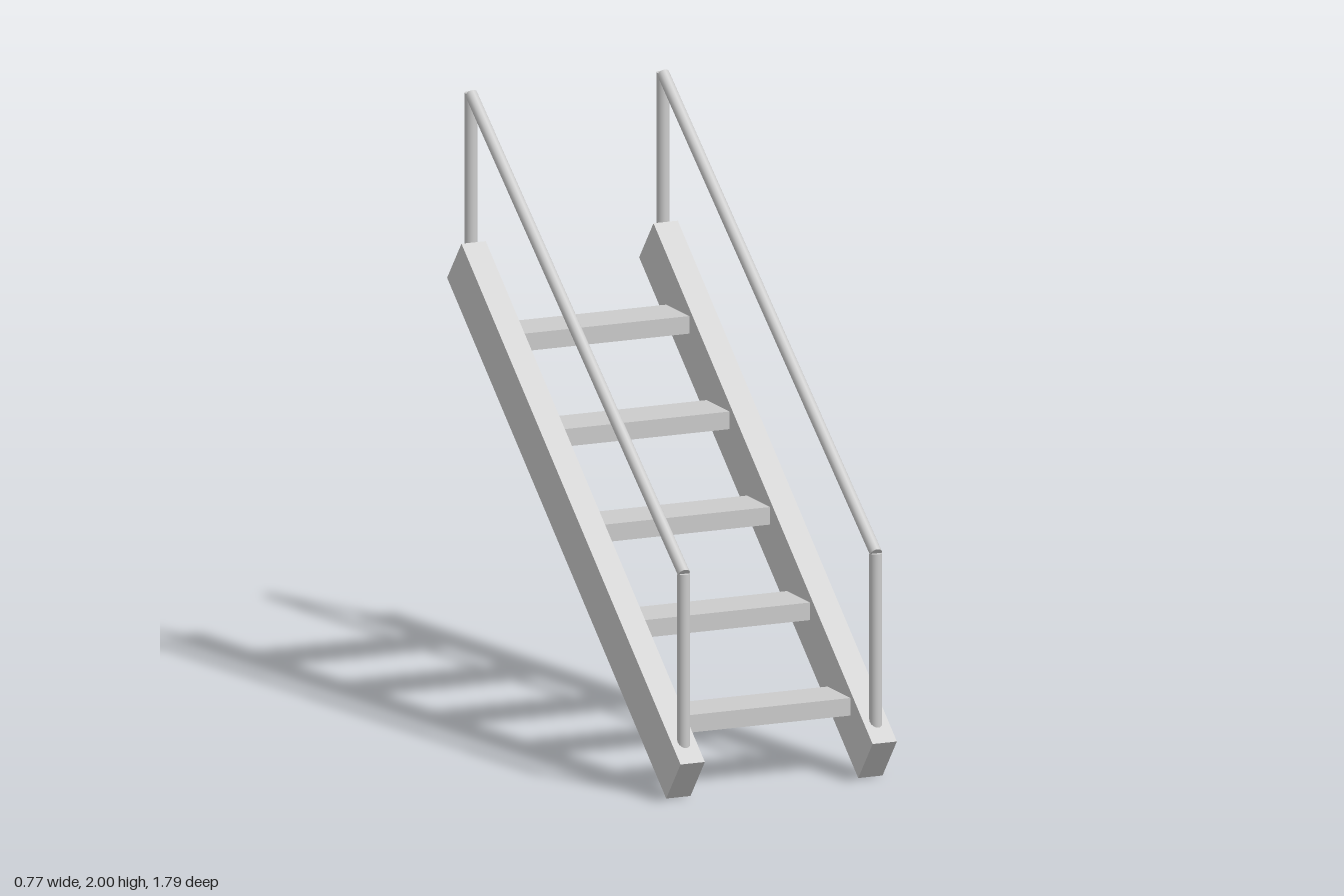
import * as THREE from 'three';

const material = new THREE.MeshStandardMaterial({ color: 0xcccccc });
const SLOPE = Math.atan2(1.36, 1.68);

function addMesh(parent, name, geometry) {
  const mesh = new THREE.Mesh(geometry, material);
  mesh.name = name;
  parent.add(mesh);
  return mesh;
}

// Round bar in the y-z plane between two [y, z] points
function addBar(parent, name, [y0, z0], [y1, z1], radius) {
  const dir = new THREE.Vector3(0, y1 - y0, z1 - z0);
  const bar = addMesh(parent, name, new THREE.CylinderGeometry(radius, radius, dir.length(), 16));
  bar.position.set(0, (y0 + y1) / 2, (z0 + z1) / 2);
  bar.quaternion.setFromUnitVectors(new THREE.Vector3(0, 1, 0), dir.normalize());
}

export function createModel() {
  const model = new THREE.Group();
  model.name = 'staircase';

  // Sloping side beams, each with its own handrail
  for (const [side, x] of [['left', 0.34], ['right', -0.34]]) {
    const group = new THREE.Group();
    group.name = side + 'Side';
    group.position.x = x;
    model.add(group);

    const stringer = addMesh(group, side + 'Stringer', new THREE.BoxGeometry(0.086, 0.175, 2.16));
    stringer.position.y = 0.75;
    stringer.rotation.x = SLOPE;

    addBar(group, side + 'LowerPost', [0.12, 0.825], [0.75, 0.825], 0.021);
    addBar(group, side + 'UpperPost', [1.4, -0.805], [1.988, -0.805], 0.021);
    addBar(group, side + 'Handrail', [0.75, 0.828], [1.984, -0.803], 0.02);
  }

  // Level treads between the beams
  for (let i = 0; i < 5; i++) {
    const tread = addMesh(model, 'tread' + (i + 1), new THREE.BoxGeometry(0.6, 0.058, 0.176));
    tread.position.set(0, 0.225 + i * 0.249, 0.636 - i * 0.3085);
  }

  return model;
}
